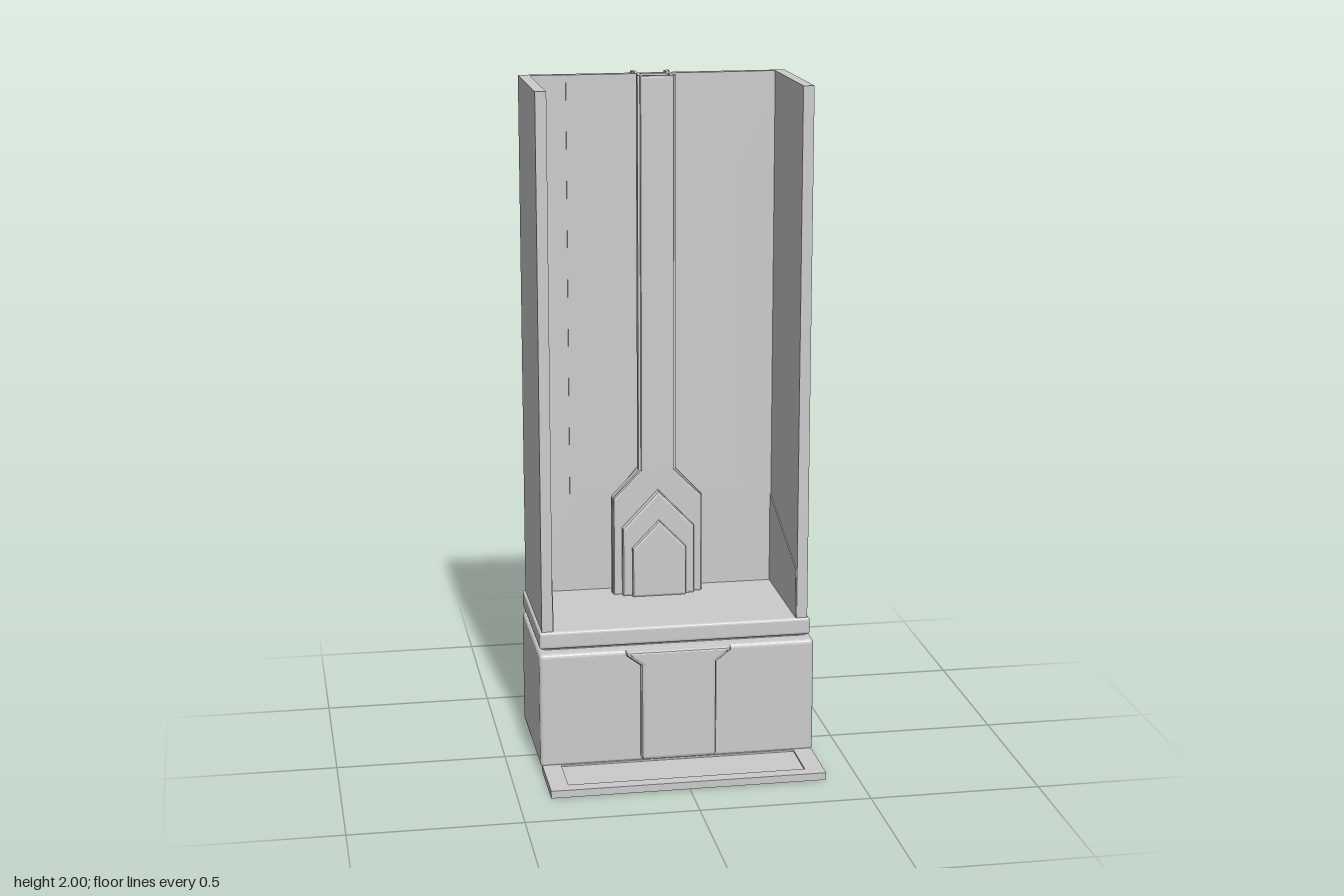
import * as THREE from 'three';
import { RoundedBoxGeometry } from 'three/addons/geometries/RoundedBoxGeometry.js';

const mat = new THREE.MeshStandardMaterial({ color: 0xcccccc, flatShading: true });

export function createModel() {
  const model = new THREE.Group();

  const add = (name, geo) => {
    const m = new THREE.Mesh(geo, mat);
    m.name = name;
    model.add(m);
    return m;
  };
  // box given by its limits
  const box = (name, x0, x1, y0, y1, z0, z1, r = 0) => {
    const s = [x1 - x0, y1 - y0, z1 - z0];
    const m = add(name, r ? new RoundedBoxGeometry(...s, 2, r) : new THREE.BoxGeometry(...s));
    m.position.set((x0 + x1) / 2, (y0 + y1) / 2, (z0 + z1) / 2);
    return m;
  };
  const shapeOf = (pts) => new THREE.Shape(pts.map((p) => new THREE.Vector2(...p)));
  // outline in x/y extruded from z0 to z1, with an optional chamfer on the front
  const slab = (name, pts, z0, z1, bevel = 0) => {
    const geo = new THREE.ExtrudeGeometry(shapeOf(pts), {
      depth: z1 - z0 - bevel, bevelEnabled: bevel > 0, bevelSize: bevel,
      bevelThickness: bevel, bevelOffset: -bevel, bevelSegments: 2,
    });
    const m = add(name, geo);
    m.position.z = z0;
    return m;
  };
  // mirrors half an outline to both sides of x = 0
  const mirrored = (half) => [...half, ...half.map(([x, y]) => [-x, y]).reverse()]
    .filter(([x], i, a) => !(x === 0 && i > 0 && a[i - 1][0] === 0));

  // base block and ledge
  box('base', -0.41, 0.41, 0.015, 0.365, -0.27, 0.145, 0.012);
  box('ledgeNeck', -0.39, 0.39, 0.36, 0.38, -0.27, 0.1);
  box('ledge', -0.405, 0.405, 0.37, 0.422, -0.3, 0.112, 0.008);

  // front plaque with a flared top
  slab('frontPlaque', mirrored([
    [0.105, 0.025], [0.112, 0.035], [0.112, 0.32], [0.155, 0.352], [0.155, 0.364],
  ]), 0.135, 0.167, 0.012);

  // projecting foot plate: rim with a recessed panel
  const rim = shapeOf([[-0.405, -0.342], [0.405, -0.342], [0.405, -0.13], [-0.405, -0.13]]);
  rim.holes.push(new THREE.Path([[-0.35, -0.302], [-0.35, -0.15], [0.35, -0.15], [0.35, -0.302]]
    .map((p) => new THREE.Vector2(...p))));
  const plate = add('footPlateRim', new THREE.ExtrudeGeometry(rim, { depth: 0.022, bevelEnabled: false }));
  plate.rotation.x = -Math.PI / 2;
  box('footPlatePanel', -0.352, 0.352, 0.006, 0.017, 0.14, 0.304);

  // open-fronted tall shell
  box('backWall', -0.397, 0.397, 0.41, 2, -0.292, -0.27);
  for (const s of [-1, 1]) {
    const a = s * 0.365, b = s * 0.397;
    box('sideWall', Math.min(a, b), Math.max(a, b), 0.41, 2, -0.29, 0.105);
    // low lining on the wall with a sloping top edge
    const lining = add('sideLining', new THREE.ExtrudeGeometry(
      shapeOf([[-0.1, 0.42], [0.27, 0.42], [0.27, 0.7], [-0.1, 0.57]]),
      { depth: 0.004, bevelEnabled: false }));
    lining.rotation.y = Math.PI / 2;
    lining.position.x = s > 0 ? 0.362 : -0.366;
  }
  box('backLining', -0.26, 0.26, 0.73, 2, -0.271, -0.266);

  // flared ribs that run through the back wall
  const rib = (s, out) => [
    [0.113, 0.408], [0.12 + out, 0.408], [0.12 + out, 0.725], [0.05 + out * 0.4, 0.81],
    [0.05 + out * 0.4, 2], [0.043, 2], [0.043, 0.8], [0.113, 0.715],
  ].map(([x, y]) => [s * x, y]);
  for (const s of [-1, 1]) {
    slab('ribWeb', rib(s, 0.002), -0.33, -0.22);
    slab('ribBackFlange', rib(s, 0.018), -0.345, -0.32);
    slab('ribFrontFlange', rib(s, 0.018), -0.24, -0.215);
  }

  // spine face and the stepped pointed panels on its foot
  slab('spineFace', mirrored([
    [0.135, 0.42], [0.135, 0.725], [0.05, 0.81], [0.05, 2],
  ]), -0.222, -0.205, 0.005);
  const pointed = (w, shoulder, tip) => mirrored([[w, 0.42], [w, shoulder], [0, tip]]);
  slab('outerPointedPanel', pointed(0.11, 0.635, 0.75), -0.21, -0.185, 0.008);
  slab('innerPointedPanel', pointed(0.082, 0.575, 0.66), -0.19, -0.17, 0.008);

  return model;
}
